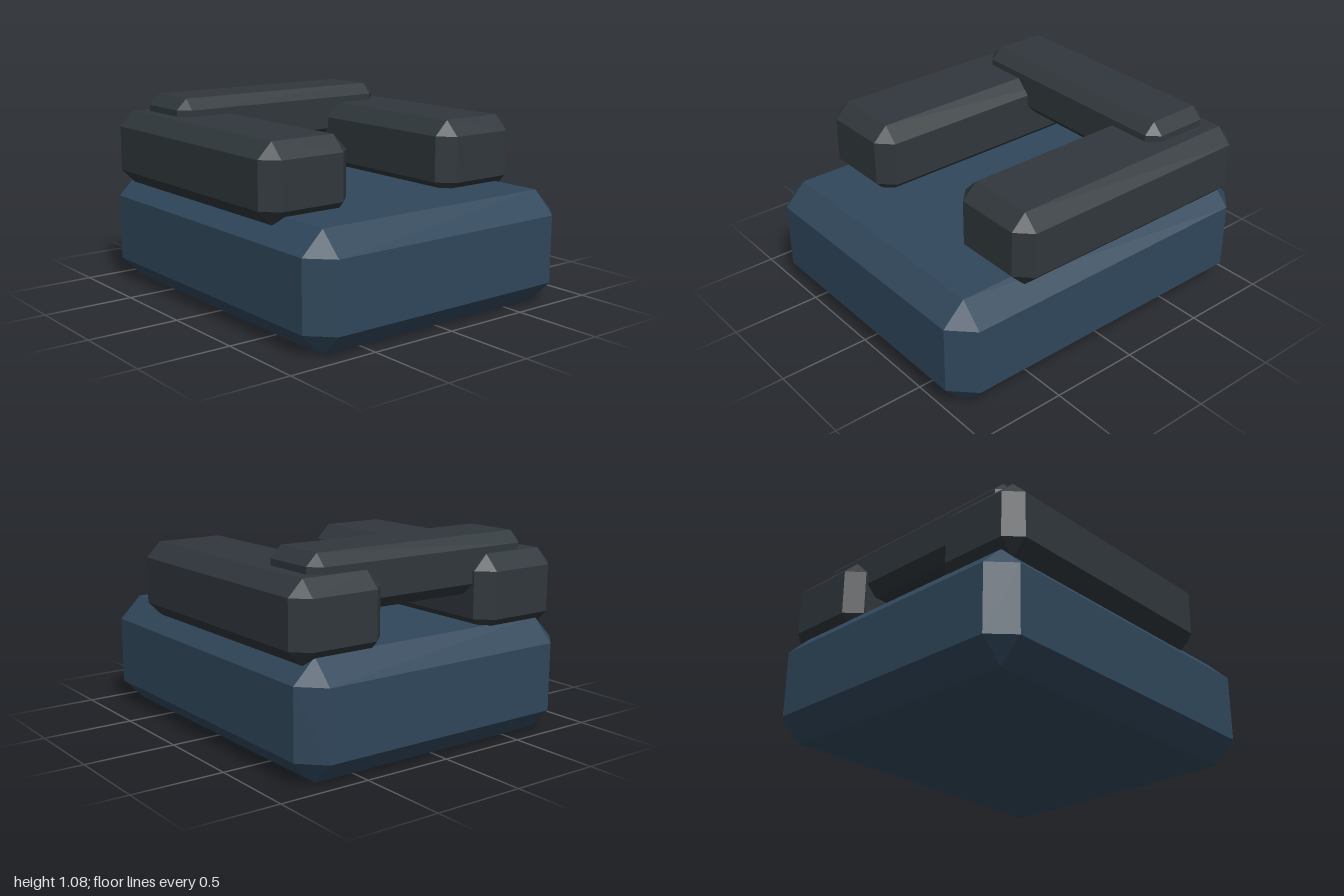
import * as THREE from 'three';
import { ConvexGeometry } from 'three/addons/geometries/ConvexGeometry.js';

// Box between two corners with every edge chamfered by c
function chamferBox(name, min, max, c, material) {
  const centre = min.map((v, i) => (v + max[i]) / 2);
  const half = min.map((v, i) => (max[i] - v) / 2);
  const points = [];
  for (const sx of [-1, 1]) for (const sy of [-1, 1]) for (const sz of [-1, 1]) {
    const sign = [sx, sy, sz];
    // each corner is cut into three points, one per face
    for (let face = 0; face < 3; face++) {
      points.push(new THREE.Vector3(...sign.map((s, i) => s * (half[i] - (i === face ? 0 : c)))));
    }
  }
  const mesh = new THREE.Mesh(new ConvexGeometry(points), material);
  mesh.name = name;
  mesh.position.set(...centre);
  return mesh;
}

export function createModel() {
  const group = new THREE.Group();
  group.name = 'chamferedBlockAssembly';

  const blue = new THREE.MeshStandardMaterial({ color: 0x30475b, flatShading: true });
  blue.name = 'slateBlue';
  const grey = new THREE.MeshStandardMaterial({ color: 0x30373c, flatShading: true });
  grey.name = 'charcoalGrey';

  // Wide base block
  group.add(chamferBox('base', [-0.845, 0, -1], [0.845, 0.615, 1], 0.122, blue));

  // Two long side rails resting in the base
  group.add(chamferBox('leftRail', [0.307, 0.567, -0.922], [0.845, 0.982, 0.613], 0.082, grey));
  group.add(chamferBox('rightRail', [-0.845, 0.567, -0.922], [-0.307, 0.982, 0.613], 0.082, grey));

  // Crossbar bridging the rails at the back
  group.add(chamferBox('crossbar', [-0.692, 0.772, -0.828], [0.692, 1.078, -0.406], 0.061, grey));

  return group;
}
